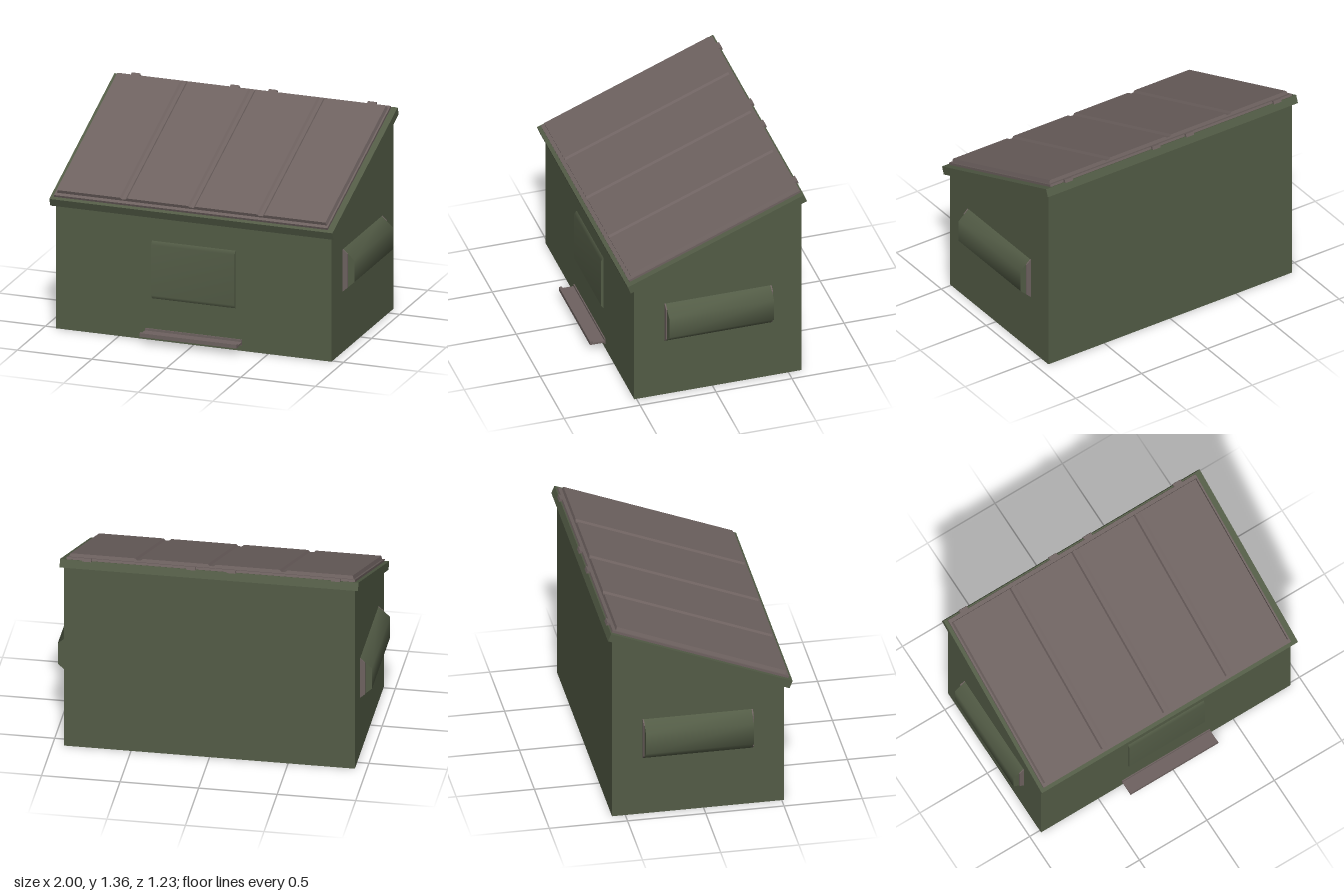
import * as THREE from 'three';

const green = new THREE.MeshStandardMaterial({ color: 0x535c46 });
green.name = 'olive green paint';
const brown = new THREE.MeshStandardMaterial({ color: 0x6e6260 });
brown.name = 'dull brown plastic';

function add(parent, name, geometry, material, x = 0, y = 0, z = 0) {
  const mesh = new THREE.Mesh(geometry, material);
  mesh.name = name;
  mesh.position.set(x, y, z);
  parent.add(mesh);
  return mesh;
}

const outline = (points) => new THREE.Shape(points.map(([x, y]) => new THREE.Vector2(x, y)));

// Flat-sided profile in xy, extruded along z and centred on it
function extrude(points, length) {
  return new THREE.ExtrudeGeometry(outline(points), { depth: length, bevelEnabled: false })
    .translate(0, 0, -length / 2);
}

// Open strip along z with normals smoothed across its folds
function softStrip(points, length) {
  const positions = [];
  const index = [];
  points.forEach(([x, y], i) => {
    positions.push(x, y, -length / 2, x, y, length / 2);
    const a = i * 2;
    if (i < points.length - 1) index.push(a, a + 2, a + 1, a + 1, a + 2, a + 3);
  });
  const geometry = new THREE.BufferGeometry();
  geometry.setAttribute('position', new THREE.Float32BufferAttribute(positions, 3));
  geometry.setIndex(index);
  geometry.computeVertexNormals();
  return geometry;
}

// Soft strip closed by a flat cap at each end
function softPrism(parent, name, points, length) {
  const group = new THREE.Group();
  group.name = name;
  add(group, name + 'Shell', softStrip(points, length), green);
  for (const s of [-1, 1]) {
    const cap = add(group, name + 'End', new THREE.ShapeGeometry(outline(points)), green, 0, 0, s * length / 2);
    if (s < 0) {
      cap.geometry.scale(1, 1, -1);
      cap.geometry.setIndex([...cap.geometry.index.array].reverse());
      cap.geometry.computeVertexNormals();
    }
  }
  parent.add(group);
  return group;
}

export function createModel() {
  const model = new THREE.Group();
  model.name = 'wasteContainer';

  // Body with a sloping top; profile given as [z, y]
  add(model, 'body', extrude([[0.515, 0], [0.515, 0.855], [-0.585, 1.3], [-0.585, 0]], 1.85), green)
    .rotation.y = -Math.PI / 2;

  // Raised front panel
  softPrism(model, 'frontPanel', [[0.514, 0.275], [0.53, 0.3], [0.53, 0.635], [0.514, 0.66]], 0.56)
    .rotation.y = -Math.PI / 2;

  // Front foot bar: wall flange, plate and upturned lip
  add(model, 'footBar', extrude([
    [0.514, 0.037], [0.522, 0.037], [0.522, 0.047], [0.617, 0.047], [0.617, 0.072],
    [0.597, 0.072], [0.597, 0.06], [0.522, 0.06], [0.522, 0.075], [0.514, 0.075],
  ], 0.65), brown).rotation.y = -Math.PI / 2;

  // Side lifting pockets with brown end plates
  for (const side of [1, -1]) {
    const pocket = softPrism(model, side > 0 ? 'leftPocket' : 'rightPocket',
      [[0.924, 0.4], [1, 0.47], [1, 0.615], [0.924, 0.682]], 0.69);
    for (const end of [-1, 1]) {
      add(pocket, 'pocketEndPlate', extrude(
        [[0.924, 0.4], [0.957, 0.43], [0.957, 0.653], [0.924, 0.682]], 0.008), brown, 0, 0, end * 0.348);
    }
    pocket.position.z = -0.037;
    if (side < 0) pocket.rotation.y = Math.PI;
  }

  // Tilted top: local -z runs up the slope, local y is its normal
  const top = new THREE.Group();
  top.name = 'slopingTop';
  top.position.set(0, 0.87, 0.565);
  top.rotation.x = 0.381;
  model.add(top);
  add(top, 'rim', new THREE.BoxGeometry(1.9, 0.054, 1.25), green, 0, -0.027, -0.625);
  add(top, 'lidBorder', new THREE.BoxGeometry(1.835, 0.015, 1.215), brown, -0.008, 0.0075, -0.633);

  // Lid of four panels parted by shallow grooves
  const profile = [[0.9, 0.012], [0.89, 0.037]];
  for (const x of [0.455, -0.008, -0.465]) {
    profile.push([x + 0.025, 0.037], [x + 0.012, 0.026], [x - 0.012, 0.026], [x - 0.025, 0.037]);
  }
  profile.push([-0.905, 0.037], [-0.915, 0.012]);
  add(top, 'lidPanels', extrude(profile, 1.165), brown, 0, 0, -0.633);

  // Hinge tabs along the back edge
  for (const x of [-0.805, -0.14, 0.115, 0.78]) {
    add(top, 'hingeTab', new THREE.BoxGeometry(0.058, 0.022, 0.025), brown, x, 0.006, -1.246);
  }
  return model;
}
